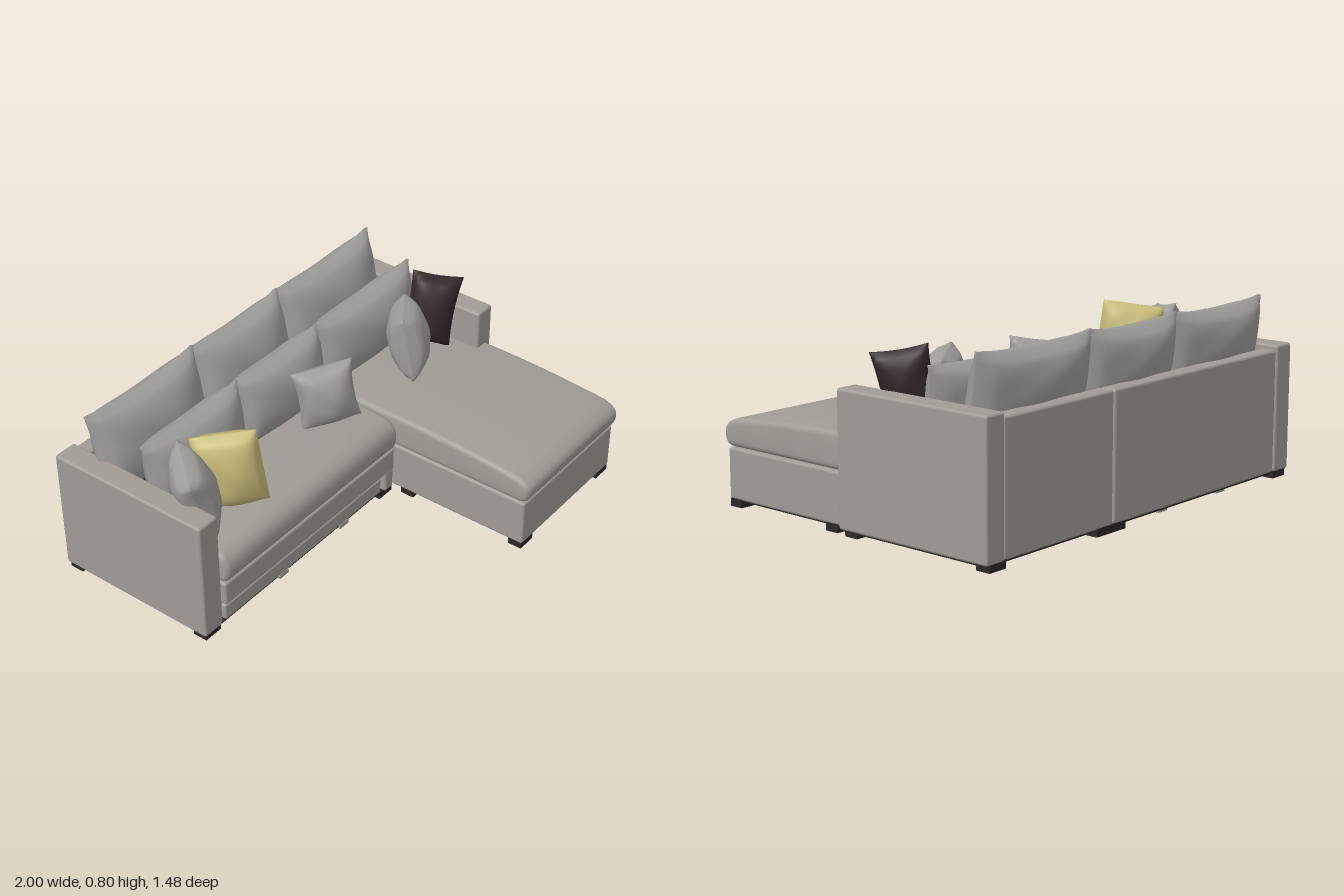
import * as THREE from 'three';
import { mergeVertices, toCreasedNormals } from 'three/addons/utils/BufferGeometryUtils.js';
import { RoundedBoxGeometry } from 'three/addons/geometries/RoundedBoxGeometry.js';

const material = (name, color) => new THREE.MeshStandardMaterial({ name, color });

export function createModel() {
  const fabric = material('warm grey upholstery', 0xa09b95);
  const cushionFabric = material('grey cushion fabric', 0x9d9c99);
  const yellow = material('yellow fabric', 0xc6bb78);
  const darkFabric = material('dark brown fabric', 0x33272a);
  const darkWood = material('dark brown base', 0x2e2725);

  const sofa = new THREE.Group();
  sofa.name = 'cornerSofa';

  const add = (name, geometry, mat) => {
    const mesh = new THREE.Mesh(geometry, mat);
    mesh.name = name;
    sofa.add(mesh);
    return mesh;
  };

  // Box given by its limits on each axis, with softened edges
  const block = (name, [x0, x1], [y0, y1], [z0, z1], mat = fabric, radius = 0.012) => {
    const w = x1 - x0, h = y1 - y0, d = z1 - z0;
    const geometry = radius > 0
      ? new RoundedBoxGeometry(w, h, d, 3, radius)
      : new THREE.BoxGeometry(w, h, d);
    geometry.translate((x0 + x1) / 2, (y0 + y1) / 2, (z0 + z1) / 2);
    return add(name, geometry, mat);
  };

  // Stuffed pillow: a thin panel puffed in the middle, with waisted sides
  const pillow = (name, [w, h, t], position, [rx, ry, rz], mat, pinch = 0.1, sag = 0) => {
    let geometry = new THREE.BoxGeometry(2, 2, 2, 18, 18, 2);
    geometry.deleteAttribute('normal');
    geometry.deleteAttribute('uv');
    geometry = mergeVertices(geometry);
    const p = geometry.attributes.position;
    for (let i = 0; i < p.count; i++) {
      const u = p.getX(i), v = p.getY(i);
      const puff = 0.06 + 0.94 * Math.pow((1 - u * u) * (1 - v * v), 0.45);
      const wrinkle = 1 + 0.05 * Math.sin(5 * u + 2 * v) * Math.cos(4 * v);
      const x = u * (1 - pinch * (1 - v * v)) * w / 2;
      let y = v * (1 - pinch * 0.5 * (1 - u * u)) * h / 2;
      if (v > 0) y -= sag * v * (1 - u * u);
      p.setXYZ(i, x, y, p.getZ(i) * puff * wrinkle * t / 2);
    }
    geometry.computeVertexNormals();
    const mesh = add(name, geometry, mat);
    mesh.position.set(...position);
    mesh.rotation.set(rx, ry, rz, 'ZYX');
  };

  // Seat cushion: side profile with a rounded, falling front, extruded across x
  const seatCushion = (name, [x0, x1], [y0, y1], [z0, z1], drop) => {
    const b = 0.025, h = y1 - y0;
    const s = new THREE.Shape();
    s.moveTo(z0 + b, y0 + b);
    s.lineTo(z1 - b - 0.02, y0 + b);
    s.quadraticCurveTo(z1 - b, y0 + b, z1 - b, y0 + h * 0.4);
    s.quadraticCurveTo(z1 - b, y1 - b - drop, z1 - b - 0.05, y1 - b - drop * 0.7);
    s.quadraticCurveTo(z1 - (z1 - z0) * 0.28, y1 - b, z0 + (z1 - z0) * 0.5, y1 - b);
    s.lineTo(z0 + b, y1 - b);
    s.closePath();
    const depth = x1 - x0 - 2 * b;
    const geometry = new THREE.ExtrudeGeometry(s, {
      depth, bevelEnabled: true, bevelSize: b, bevelThickness: b, bevelSegments: 4, curveSegments: 10,
    });
    geometry.translate(0, 0, -depth / 2);
    geometry.rotateY(-Math.PI / 2);
    geometry.translate((x0 + x1) / 2, 0, 0);
    add(name, toCreasedNormals(geometry, 0.7), fabric);
  };

  // Armrests and two-part backrest
  block('rightArmrest', [-1, -0.89], [0.03, 0.595], [-0.74, 0.035]);
  block('leftArmrest', [0.895, 1], [0.03, 0.595], [-0.74, 0.035]);
  block('sofaBackrest', [-0.892, 0.243], [0.03, 0.575], [-0.735, -0.66]);
  block('chaiseBackrest', [0.247, 0.897], [0.03, 0.575], [-0.735, -0.66]);

  // Sofa section: body, pull-out drawer front and corner post
  block('sofaBody', [-0.885, 0.245], [0.035, 0.25], [-0.67, 0.01], darkWood, 0);
  block('upperFrontPanel', [-0.885, 0.25], [0.13, 0.243], [-0.02, 0.05]);
  block('drawerFront', [-0.875, 0.175], [0.035, 0.115], [-0.02, 0.035]);
  block('cornerPost', [0.19, 0.25], [0.03, 0.135], [-0.1, 0.045]);
  seatCushion('sofaSeatCushion', [-0.89, 0.248], [0.248, 0.412], [-0.67, 0.07], 0.02);

  // Chaise section
  block('chaiseBase', [0.258, 0.965], [0.03, 0.25], [-0.67, 0.72]);
  seatCushion('chaiseSeatCushion', [0.25, 0.972], [0.255, 0.412], [-0.67, 0.74], 0.05);

  // Dark lining on the seat behind the cushions, and under the frame
  block('seatLining', [-0.885, 0.895], [0.41, 0.416], [-0.665, -0.36], darkWood, 0);
  block('sofaUnderside', [-0.99, 0.99], [0.025, 0.031], [-0.73, 0.025], darkWood, 0);
  block('chaiseUnderside', [0.27, 0.955], [0.025, 0.031], [0.025, 0.71], darkWood, 0);

  // Feet
  const feet = [
    [-0.94, -0.7], [0.21, -0.7], [0.3, -0.7], [0.93, -0.7], [-0.94, -0.01], [0.21, 0],
    [0.93, -0.01], [0.31, 0.11], [0.92, 0.11], [0.31, 0.68], [0.92, 0.68],
  ];
  for (const [x, z] of feet) {
    block('foot', [x - 0.045, x + 0.045], [0, 0.035], [z - 0.033, z + 0.033], darkWood, 0);
  }
  // Small glides under the drawer and the back
  for (const x of [-0.5, -0.09]) {
    for (const z of [0.015, -0.71]) {
      block('glide', [x - 0.03, x + 0.03], [0.015, 0.04], [z - 0.02, z + 0.02], fabric, 0.004);
    }
  }

  // Two rows of back cushions
  const spans = [[-0.93, -0.29], [-0.31, 0.265], [0.245, 0.915]];
  for (const [x0, x1] of spans) {
    pillow('rearBackCushion', [x1 - x0, 0.4, 0.22], [(x0 + x1) / 2, 0.605, -0.575],
      [-0.2, 0, 0], cushionFabric, 0.04, 0.02);
  }
  const frontSpans = [[-0.865, -0.285], [-0.305, 0.245], [0.235, 0.915]];
  for (const [x0, x1] of frontSpans) {
    pillow('frontBackCushion', [x1 - x0, 0.325, 0.21], [(x0 + x1) / 2, 0.56, -0.36],
      [-0.12, 0, 0], cushionFabric, 0.04, 0.01);
  }

  // Scatter pillows
  pillow('rightGreyPillow', [0.28, 0.33, 0.18], [-0.8, 0.57, -0.16], [-0.1, 0.9, 0.25], cushionFabric);
  pillow('yellowPillow', [0.27, 0.35, 0.17], [-0.615, 0.575, -0.14], [-0.15, -0.85, 0.2], yellow, 0);
  pillow('middleGreyPillow', [0.27, 0.28, 0.17], [0.05, 0.55, -0.17], [-0.2, -0.6, 0.15], cushionFabric);
  pillow('leftGreyPillow', [0.27, 0.3, 0.19], [0.6, 0.56, -0.14], [-0.25, 0.6, -0.12], cushionFabric, 0);
  pillow('darkPillow', [0.23, 0.34, 0.16], [0.815, 0.59, -0.17], [0.05, -0.9, -0.28], darkFabric);

  return sofa;
}
